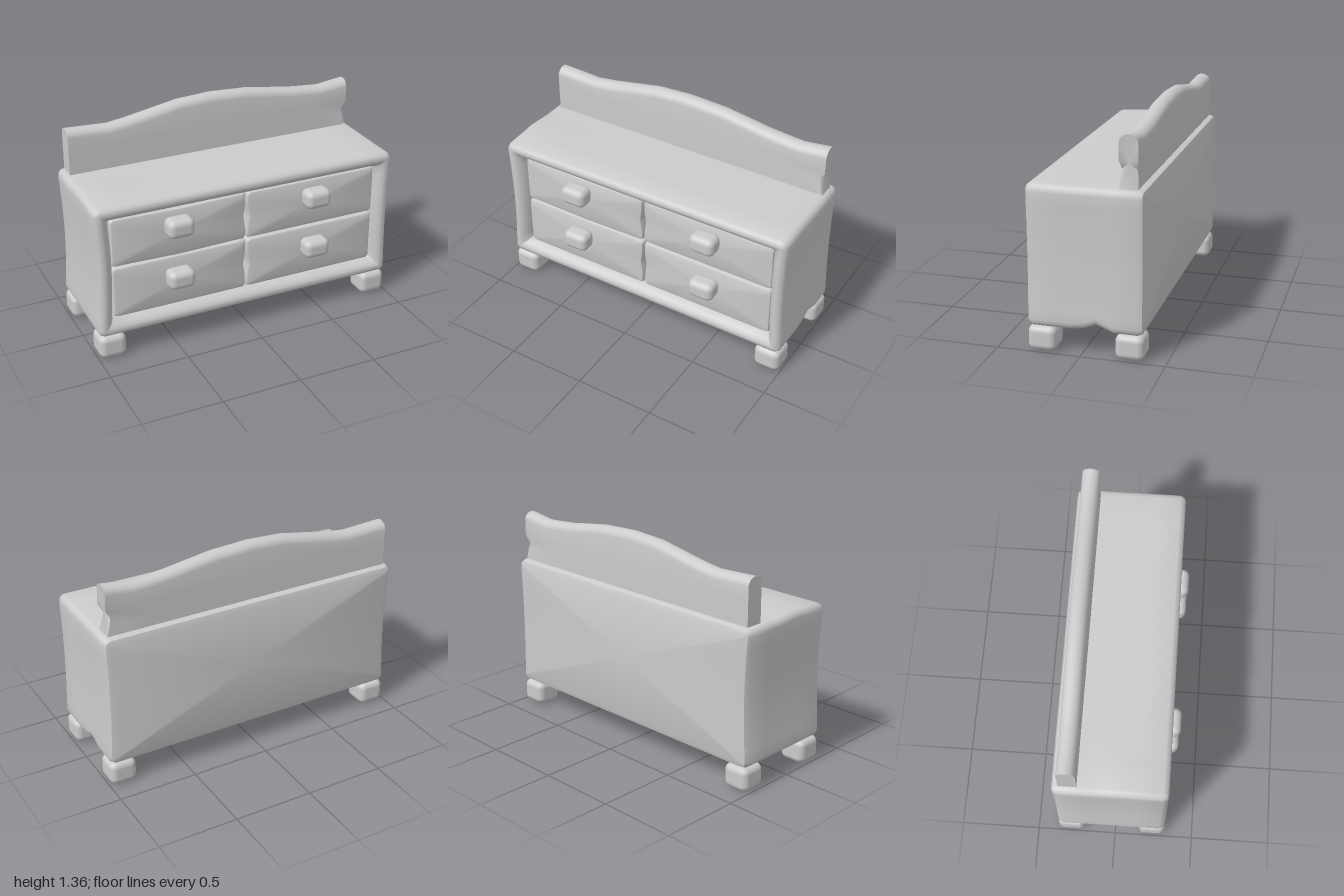
import * as THREE from 'three';
import { toCreasedNormals } from 'three/addons/utils/BufferGeometryUtils.js';
import { RoundedBoxGeometry } from 'three/addons/geometries/RoundedBoxGeometry.js';

const material = new THREE.MeshStandardMaterial({ color: 0xcccccc });

function addMesh(parent, name, geometry, x = 0, y = 0, z = 0) {
  const mesh = new THREE.Mesh(geometry, material);
  mesh.name = name;
  mesh.position.set(x, y, z);
  parent.add(mesh);
  return mesh;
}

// Skin a list of closed rings of points and cap both ends with fans
function loft(rings) {
  const n = rings[0].length;
  const positions = rings.flat().flatMap((p) => [p.x, p.y, p.z]);
  const index = [];
  for (let i = 0; i < rings.length - 1; i++) {
    for (let j = 0; j < n; j++) {
      const k = (j + 1) % n;
      const a = i * n + j, b = i * n + k, c = b + n, d = a + n;
      index.push(a, b, c, a, c, d);
    }
  }
  [0, rings.length - 1].forEach((i) => {
    const box = new THREE.Box3().setFromPoints(rings[i]);
    const centre = box.getCenter(new THREE.Vector3());
    const id = positions.length / 3;
    positions.push(centre.x, centre.y, centre.z);
    for (let j = 0; j < n; j++) {
      const a = i * n + j, b = i * n + (j + 1) % n;
      if (i === 0) index.push(id, b, a);
      else index.push(id, a, b);
    }
  });
  const geometry = new THREE.BufferGeometry();
  geometry.setAttribute('position', new THREE.Float32BufferAttribute(positions, 3));
  geometry.setIndex(index);
  return toCreasedNormals(geometry, 0.75);
}

// Rounded rectangle in x and y, counter-clockwise, with subdivided sides
function rectRing(x0, x1, y0, y1, r, z, warp) {
  const corners = [[x1 - r, y0 + r], [x1 - r, y1 - r], [x0 + r, y1 - r], [x0 + r, y0 + r]];
  const arc = 4, side = 12, points = [];
  corners.forEach(([cx, cy], c) => {
    for (let i = 0; i <= arc; i++) {
      const t = (c - 1 + i / arc) * Math.PI / 2;
      points.push(new THREE.Vector3(cx + r * Math.cos(t), cy + r * Math.sin(t), z));
    }
    const from = points[points.length - 1].clone();
    const [nx, ny] = corners[(c + 1) % 4];
    const t = c * Math.PI / 2;
    const to = new THREE.Vector3(nx + r * Math.cos(t), ny + r * Math.sin(t), z);
    for (let i = 1; i < side; i++) points.push(from.clone().lerp(to, i / side));
  });
  points.forEach(warp);
  return points;
}

const bump = (v, centre, width) => Math.max(0, 1 - Math.abs(v - centre) / width);

// Worn timber: pinched sides, a lifted top board and a chipped lower edge
function warpBody(p) {
  if (Math.abs(p.x) > 0.8) {
    const pinch = Math.sin(Math.PI * THREE.MathUtils.clamp((p.y - 0.15) / 0.85, 0, 1));
    p.x -= Math.sign(p.x) * pinch * (p.x < 0 ? 0.02 : 0.01);
  }
  if (p.y > 0.95 && p.x < -0.6) p.y += 0.014 * bump(p.z, 0.06, 0.17) * Math.min(1, (-0.6 - p.x) / 0.3);
  if (p.y < 0.2 && p.x > 0.9) p.y += 0.04 * bump(p.z, -0.09, 0.1);
}

function bodyGeometry() {
  // Inset from the outline and depth, from the back round to the recess
  const steps = [
    [0.04, -0.37], [0.012, -0.36], [0, -0.33], [0, -0.19], [0, -0.13], [0, -0.09], [0, -0.02],
    [0, 0.06], [0, 0.14], [0, 0.285], [0.012, 0.31], [0.035, 0.32], [0.055, 0.315],
    [0.075, 0.298], [0.093, 0.265], [0.1, 0.23], [0.1, 0.18],
  ];
  return loft(steps.map(([s, z]) =>
    rectRing(-0.995 + s, 0.995 - s, 0.15 + s, 1 - s, Math.max(0.045 - s, 0.012), z, warpBody)));
}

function drawerGeometry(x0, x1, y0, y1, sag) {
  const steps = [[0, 0.16], [0, 0.25], [0.006, 0.264], [0.022, 0.27]];
  const mid = (x0 + x1) / 2, inner = mid < 0 ? x1 : x0;
  // Sagging rail edges and a nicked inner end
  const warp = (p) => {
    p.y -= sag * bump(p.x, mid, 0.35) * (mid < 0 ? 1 : 0);
    if (Math.abs(p.x - inner) < 0.05) p.x += Math.sign(mid) * 0.012 * bump(p.y, (y0 + y1) / 2, 0.09);
  };
  return loft(steps.map(([s, z]) => rectRing(x0 + s, x1 - s, y0 + s, y1 - s, 0.02, z, warp)));
}

// Upright board with a rounded, waving crest and a split at its left end
function backboardGeometry() {
  const crest = [
    [-0.95, 1.285], [-0.68, 1.272], [-0.56, 1.288], [-0.45, 1.308], [-0.22, 1.35], [0, 1.362],
    [0.25, 1.35], [0.4, 1.328], [0.55, 1.305], [0.7, 1.292], [0.78, 1.287], [0.958, 1.31],
  ];
  const rows = [0.98, 1.07, 1.11, 1.16];
  const zBack = -0.33, zFront = -0.22, r = 0.05;
  return loft(crest.map(([x, top], i) => {
    const atEnd = i === crest.length - 1;
    const split = (y) => (atEnd ? bump(y, 1.11, 0.05) : 0);
    const edgeX = (y) => x - (atEnd ? 0.03 * bump(y, 1.11, y < 1.11 ? 0.13 : 0.05) : 0);
    const back = rows.map((y) => new THREE.Vector3(edgeX(y), y, zBack + 0.012 * split(y)));
    const front = rows.map((y) => new THREE.Vector3(edgeX(y), y, zFront - 0.012 * split(y))).reverse();
    const arch = [];
    for (let k = 0; k <= 10; k++) {
      const t = Math.PI * k / 10;
      const z = (zBack + zFront) / 2 - (zFront - zBack) / 2 * Math.cos(t);
      arch.push(new THREE.Vector3(x, top - r + r * Math.sin(t), z));
    }
    return [...back, ...arch, ...front];
  }));
}

export function createModel() {
  const model = new THREE.Group();
  model.name = 'dresser';

  addMesh(model, 'cabinet', bodyGeometry());
  addMesh(model, 'backboard', backboardGeometry());

  // Four drawers, each with a rounded knob
  const drawers = new THREE.Group();
  drawers.name = 'drawers';
  model.add(drawers);
  const columns = [[-0.878, -0.004, -0.463], [0.004, 0.893, 0.458]];
  const rows = [[0.245, 0.578, 0.45], [0.588, 0.9, 0.795]];
  rows.forEach(([y0, y1, knobY], row) => {
    columns.forEach(([x0, x1, knobX]) => {
      addMesh(drawers, 'drawer', drawerGeometry(x0, x1, y0, y1, row ? 0.008 : 0));
      addMesh(drawers, 'knob', new RoundedBoxGeometry(0.17, 0.12, 0.12, 4, 0.04), knobX, knobY, 0.31);
    });
  });

  // Block feet at the corners
  for (const x of [-0.907, 0.907]) {
    for (const z of [-0.285, 0.235]) {
      addMesh(model, 'foot', new RoundedBoxGeometry(0.17, 0.15, 0.17, 4, 0.04), x, 0.075, z);
    }
  }
  return model;
}
